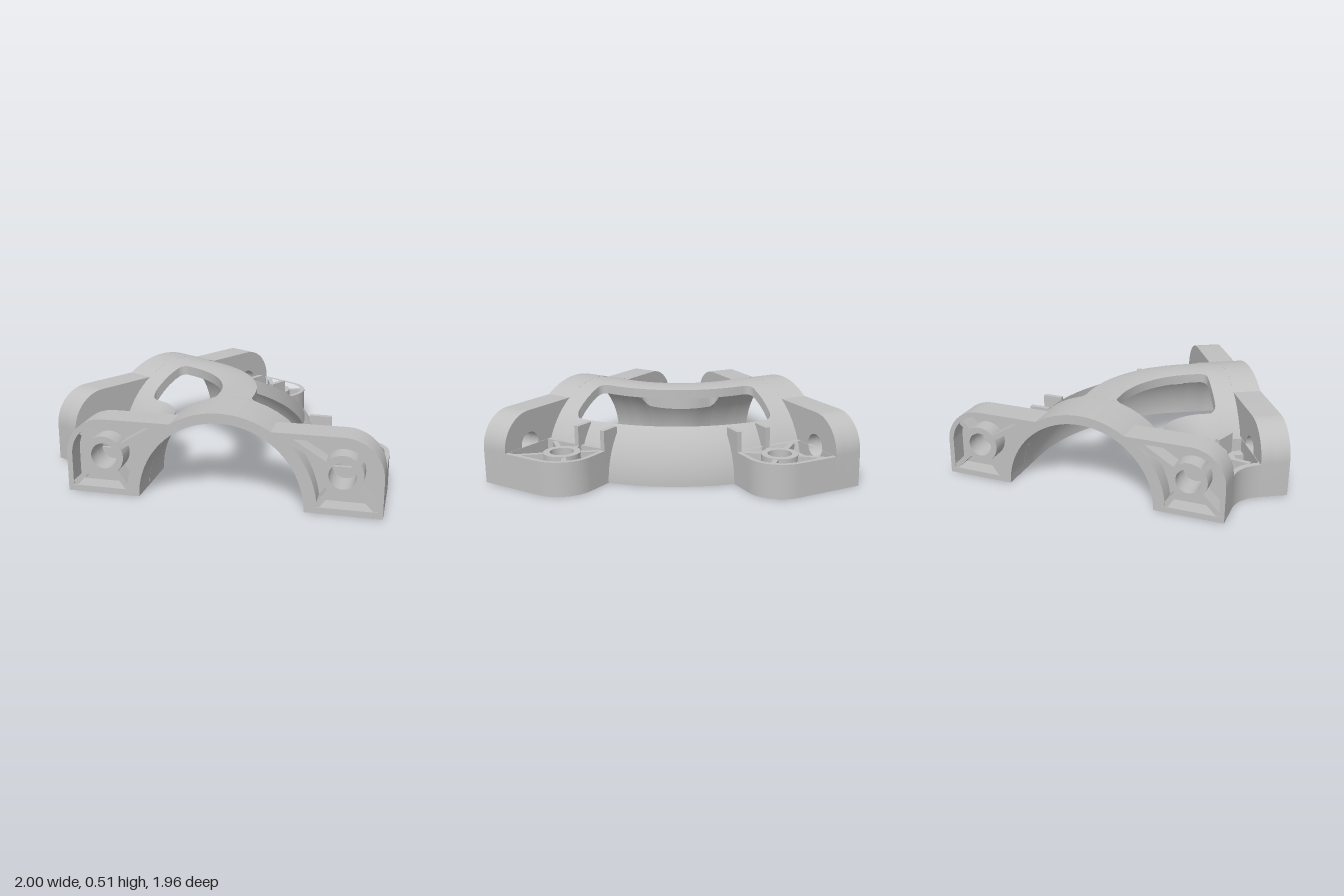
import * as THREE from 'three';
import { toCreasedNormals } from 'three/addons/utils/BufferGeometryUtils.js';

const RO = 0.51, RI = 0.455;          // pipe shell radii
const BEND = 0.7, STRAIGHT = 0.403;   // 60 degree bend with straight ends
const ARC = BEND * Math.PI / 3, LEN = 2 * STRAIGHT + ARC;
const EAR = 0.8675, T = 0.175;        // flange half width and thickness
const HOLE = 0.073, HUB = 0.112, HX = 0.6525, LUG_H = 0.21;
const rad = THREE.MathUtils.degToRad;

const grey = new THREE.MeshStandardMaterial({ color: 0xc0c0c0 });
grey.name = 'light grey plastic';

function add(group, name, geometry) {
  const mesh = new THREE.Mesh(toCreasedNormals(geometry, 0.5), grey);
  mesh.name = name;
  group.add(mesh);
  return mesh;
}

// Points on an arc, in degrees
function arc(cx, cy, r, a0, a1, n = 14) {
  return Array.from({ length: n + 1 }, (_, i) => {
    const a = rad(a0 + (a1 - a0) * i / n);
    return [cx + r * Math.cos(a), cy + r * Math.sin(a)];
  });
}
const flip = (pts) => pts.map(([x, y]) => [-x, y]).reverse();
const vecs = (pts) => pts.map(([x, y]) => new THREE.Vector2(x, y));
function extrude(outline, holes, depth) {
  const shape = new THREE.Shape(vecs(outline));
  holes.forEach((h) => shape.holes.push(new THREE.Path(vecs(h))));
  return new THREE.ExtrudeGeometry(shape, { depth, bevelEnabled: false });
}
const circle = (x, y, r) => arc(x, y, r, 0, 360 - 11.25, 31);
// Thin straight rib drawn from one point to another
function rib([x0, y0], [x1, y1], depth, w = 0.015) {
  const l = Math.hypot(x1 - x0, y1 - y0), f = (HUB - 0.02) / l;
  const nx = -(y1 - y0) / l * w, ny = (x1 - x0) / l * w;
  const sx = x0 + (x1 - x0) * f, sy = y0 + (y1 - y0) * f;
  return extrude([[sx + nx, sy + ny], [x1 + nx, y1 + ny], [x1 - nx, y1 - ny], [sx - nx, sy - ny]], [], depth);
}

// Position and sideways direction along the pipe's centre line
function station(s) {
  const a = THREE.MathUtils.clamp((s - STRAIGHT) / BEND, 0, Math.PI / 3);
  const run = s < STRAIGHT ? s - STRAIGHT : Math.max(0, s - STRAIGHT - ARC);
  const c = Math.cos(a), n = Math.sin(a);
  return { x: 0.1325 - BEND + BEND * c - n * run, z: 0.98 - STRAIGHT - BEND * n - c * run, nx: c, nz: -n };
}

// Curved shell between two sideways limits, swept along the bend
function shell(stations, limits) {
  const N = 24, M = 2 * N + 2, pos = [], idx = [];
  stations.forEach((s) => {
    const p = station(s), [lo, hi] = limits(s);
    for (let j = 0; j < M; j++) {
      const r = j <= N ? RO : RI, f = j <= N ? j / N : (M - 1 - j) / N;
      const a0 = Math.acos(THREE.MathUtils.clamp(lo / r, -1, 1));
      const a1 = Math.acos(THREE.MathUtils.clamp(hi / r, -1, 1));
      const a = a0 + (a1 - a0) * f, d = r * Math.cos(a);
      pos.push(p.x + p.nx * d, r * Math.sin(a), p.z + p.nz * d);
    }
  });
  const last = (stations.length - 1) * M;
  for (let k = 0; k < last; k += M) {
    for (let j = 0; j < M; j++) {
      const a = k + j, b = k + (j + 1) % M;
      idx.push(a, b, b + M, a, b + M, a + M);
    }
  }
  for (let i = 0; i < N; i++) {
    const o = i, q = M - 1 - i;
    idx.push(o, q, o + 1, o + 1, q, q - 1);
    idx.push(last + o, last + o + 1, last + q, last + o + 1, last + q - 1, last + q);
  }
  const g = new THREE.BufferGeometry();
  g.setAttribute('position', new THREE.Float32BufferAttribute(pos, 3));
  g.setIndex(idx);
  return g;
}

function buildShell(group) {
  const W0 = 0.31, W1 = LEN - W0, F = 0.045;
  const full = () => [-RO, RO];
  add(group, 'frontCollar', shell([T, W0], full));
  add(group, 'rearCollar', shell([W1, LEN - T], full));
  // Stations get denser at the rounded window corners
  const ends = Array.from({ length: 7 }, (_, i) => F * (1 - Math.cos(i * Math.PI / 12)));
  const mid = Array.from({ length: 39 }, (_, i) => W0 + F + (W1 - W0 - 2 * F) * (i + 1) / 40);
  const stations = [...ends.map((t) => W0 + t), ...mid, ...ends.map((t) => W1 - t).reverse()];
  const fillet = (s) => {
    const t = Math.max(0, F - Math.min(s - W0, W1 - s));
    return F - Math.sqrt(Math.max(0, F * F - t * t));
  };
  add(group, 'crownStrip', shell(stations, (s) => [-0.1 - fillet(s), 0.1 + fillet(s)]));
  add(group, 'outerWall', shell(stations, (s) => [0.38 - fillet(s), RO]));
  add(group, 'innerWall', shell(stations, (s) => [-RO, -0.38 + fillet(s)]));
}

// End flange: local z = 0 is the mating face
function buildFlange(group) {
  const half = [[EAR, 0], ...arc(HX, 0.215, 0.215, 0, 90), ...arc(0, 0, RO, 57.47, 90)];
  const outline = [...half, ...flip(half).slice(1), ...arc(0, 0, RI, 180, 0, 40)];
  const pocket = [...arc(0, 0, 0.525, 49.6, 3.8), [0.8375, 0.035], ...arc(HX, 0.215, 0.185, 0, 90)];
  const back = 0.07;
  const plate = extrude(outline, [circle(HX, 0.22, HOLE), circle(-HX, 0.22, HOLE)], back);
  add(group, 'flangePlate', plate).position.z = -T;
  add(group, 'flangeRim', extrude(outline, [pocket, flip(pocket)], T - back)).position.z = back - T;
  for (const s of [1, -1]) {
    const hub = extrude(circle(s * HX, 0.22, HUB), [circle(s * HX, 0.22, HOLE)], T - back);
    add(group, 'flangeHub', hub).position.z = back - T;
    for (const [x, y] of [[0.795, 0.363], [0.845, 0.03], [0.518, 0.035], [0.35, 0.405]]) {
      add(group, 'flangeRib', rib([s * HX, 0.22], [s * x, y], T - back - 0.004)).position.z = back - T;
    }
  }
}

// Flat mounting lug, drawn in plan as (sideways, distance behind the mating face)
function buildLug(group, outline, pocket, slots, hx, ends) {
  const lay = (name, g, y) => add(group, name, g.rotateX(-Math.PI / 2)).position.y = y;
  lay('lugRim', extrude(outline, [pocket], LUG_H), 0);
  lay('lugFloor', extrude(outline, [circle(hx, 0.43, HOLE), ...slots], 0.04), 0.09);
  lay('lugHub', extrude(circle(hx, 0.43, HUB), [circle(hx, 0.43, HOLE)], LUG_H), 0);
  for (const [x, d, top] of ends) lay('lugRib', rib([hx, 0.43], [x, d], (top || 0.206) - 0.004), 0.004);
}

function buildOuterLug(group, side) {
  const m = (pts) => pts.map(([x, y]) => [side * x, y]);
  const outline = [[0.47, 0.16], [EAR, 0.16], ...arc(HX, 0.43, 0.215, 0, 90), [0.47, 0.645]];
  const pocket = [[0.5, 0.178], [0.8395, 0.178], ...arc(HX, 0.43, 0.187, 0, 90), [0.49, 0.617]];
  const slot = [[0.56, 0.178], [0.745, 0.178], [0.745, 0.24], [0.56, 0.24]];
  buildLug(group, m(outline), m(pocket), [m(slot)], side * HX,
    m([[0.5, 0.62], [0.79, 0.568], [0.5, 0.24], [0.85, 0.22], [0.48, 0.43]]));
  // Small upright gussets against the shell
  const fin = [[0.39, 0.335], [0.515, 0.335], [0.515, 0.12], [0.465, 0.12], [0.39, 0.25]];
  for (const d of [0.445, 0.645]) add(group, 'gusset', extrude(m(fin), [], 0.03)).position.z = -d;
}

// Lug in the inside corner of the bend, symmetric about its bisector
function buildInnerLug(group) {
  const cx = -BEND, cy = STRAIGHT, c = 0.5, s = Math.sin(Math.PI / 3);
  const mirror = (pts) => pts.map(([x, y]) => {
    const vx = x - cx, vy = y - cy;
    return [cx + c * vx + s * vy, cy + s * vx - c * vy];
  }).reverse();
  const both = (half, start, ctrl) => {
    const [end] = mirror([start]);
    const curve = new THREE.QuadraticBezierCurve(...vecs([end, ctrl, start]));
    return [...half, ...mirror(half).slice(1), ...curve.getPoints(12).map((p) => [p.x, p.y])];
  };
  const outline = both([[-EAR, 0.16], [-0.47, 0.16], ...arc(cx, cy, 0.23, 0, 30, 8)], [-EAR, T], [-EAR, 0.306]);
  const pocket = both([[-0.81, 0.178], [-0.5, 0.178], ...arc(cx, cy, 0.2, 0, 30, 8)], [-0.835, 0.182], [-0.837, 0.324]);
  const slot = [[-0.745, 0.178], [-0.56, 0.178], [-0.56, 0.24], [-0.745, 0.24]];
  const ribs = [[-0.5, 0.25, 0.26], [-0.825, 0.225]];
  const mirrored = ribs.map(([x, d, top]) => [...mirror([[x, d]])[0], top]);
  buildLug(group, outline, pocket, [slot, mirror(slot)], -HX,
    [...ribs, ...mirrored, [cx + 0.21 * s, cy + 0.105, 0.26]]);
}

export function createModel() {
  const model = new THREE.Group();
  model.name = 'elbowClamp';
  const shellGroup = new THREE.Group();
  shellGroup.name = 'bentShell';
  buildShell(shellGroup);

  const front = new THREE.Group();
  front.name = 'frontEnd';
  front.position.set(0.1325, 0, 0.98);
  buildFlange(front);
  buildOuterLug(front, 1);
  buildInnerLug(front);

  const rear = new THREE.Group();
  rear.name = 'rearEnd';
  const p = station(LEN);
  rear.position.set(p.x, 0, p.z);
  rear.rotation.y = rad(-120);
  buildFlange(rear);
  buildOuterLug(rear, -1);

  model.add(shellGroup, front, rear);
  return model;
}
